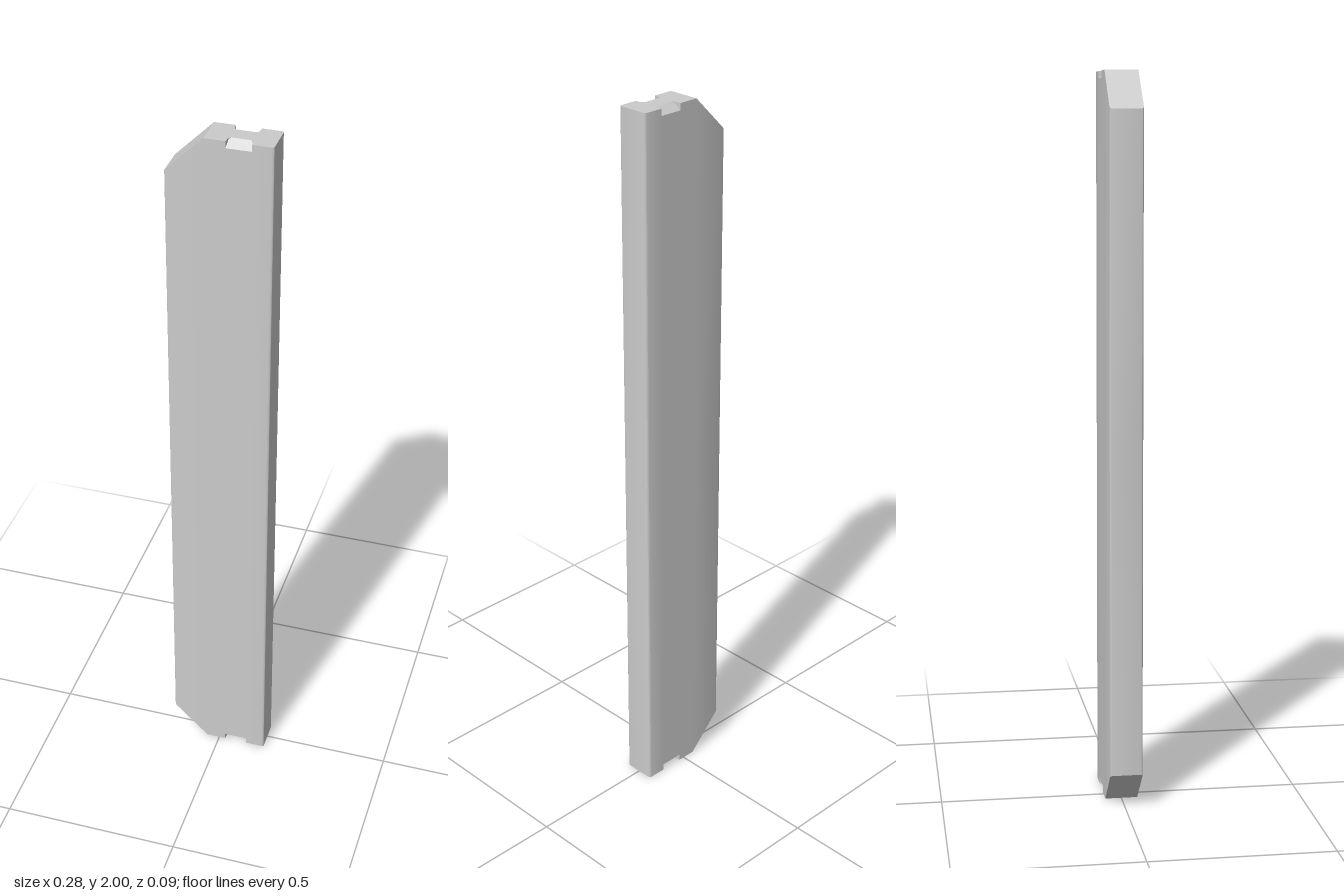
import * as THREE from 'three';
import { toCreasedNormals } from 'three/addons/utils/BufferGeometryUtils.js';

const X = 0.139, W = 0.045, R = 0.005;      // half width, half thickness, edge radius
const CUT = -0.0375;                        // the slanted ends begin here
const INNER = 0.022;                        // inner edge of the notches

// Heights above the middle of the plank, for a plan point [x, s] with s = -z
const endHeight = ([x]) => 1 - Math.max(0, CUT - x);
const notchHeight = ([, s]) => 1 - Math.max(0, Math.abs(s) - INNER) * 0.8;
const middle = () => 0;

// Rounded long edge, counter-clockwise from angle a
function corner(sx, ss, a) {
  return [0, 1, 2, 3].map((i) => {
    const t = a + (i * Math.PI) / 6;
    return [sx * (X - R) + R * Math.cos(t), ss * (W - R) + R * Math.sin(t)];
  });
}

function plankGeometry() {
  const pos = [];
  // Every triangle is repeated upside down for the lower half
  const tri = (a, b, c) => {
    for (const p of [a, b, c]) pos.push(p[0], 1 + p[1], p[2]);
    for (const p of [a, c, b]) pos.push(p[0], 1 - p[1], p[2]);
  };
  const at = (p, h) => [p[0], h(p), -p[1]];
  const cap = (pts, h) => {
    const contour = pts.map((p) => new THREE.Vector2(...p));
    for (const f of THREE.ShapeUtils.triangulateShape(contour, [])) {
      tri(...f.map((i) => at(pts[i], h)));
    }
  };
  const wall = (pts, low, high) => {
    for (let i = 0; i + 1 < pts.length; i++) {
      const [a, b] = [pts[i], pts[i + 1]];
      tri(at(a, low), at(b, low), at(b, high));
      tri(at(a, low), at(b, high), at(a, high));
    }
  };

  const front = [
    [0.018, -W], [0.02, -0.028], [0.0255, -INNER],
    [0.0765, -INNER], [0.082, -0.028], [0.084, -W],
  ];
  const back = front.map(([x, s]) => [x, -s]).reverse();
  const slanted = [
    [CUT, W], ...corner(-1, 1, Math.PI / 2), ...corner(-1, -1, Math.PI), [CUT, -W],
  ];
  const rightEdge = [...corner(1, -1, -Math.PI / 2), ...corner(1, 1, 0)];

  // Slanted and square parts of the ends, with the outer walls
  cap(slanted, endHeight);
  cap([[CUT, -W], ...front, ...rightEdge, ...back, [CUT, W]], endHeight);
  wall(slanted, middle, endHeight);
  wall([[CUT, -W], front[0]], middle, endHeight);
  wall([front[5], ...rightEdge, back[0]], middle, endHeight);
  wall([back[5], [CUT, W]], middle, endHeight);

  // Sloping notches in both faces
  for (const notch of [front, back]) {
    cap([...notch].reverse(), notchHeight);
    wall(notch, notchHeight, endHeight);
    wall([notch[0], notch[5]], middle, notchHeight);
  }

  const geo = new THREE.BufferGeometry();
  geo.setAttribute('position', new THREE.Float32BufferAttribute(pos, 3));
  return toCreasedNormals(geo, 0.6);
}

export function createModel() {
  const group = new THREE.Group();
  group.name = 'picketBoard';
  const plank = new THREE.Mesh(
    plankGeometry(),
    new THREE.MeshStandardMaterial({ color: 0xcccccc }),
  );
  plank.name = 'plank';
  group.add(plank);
  return group;
}
